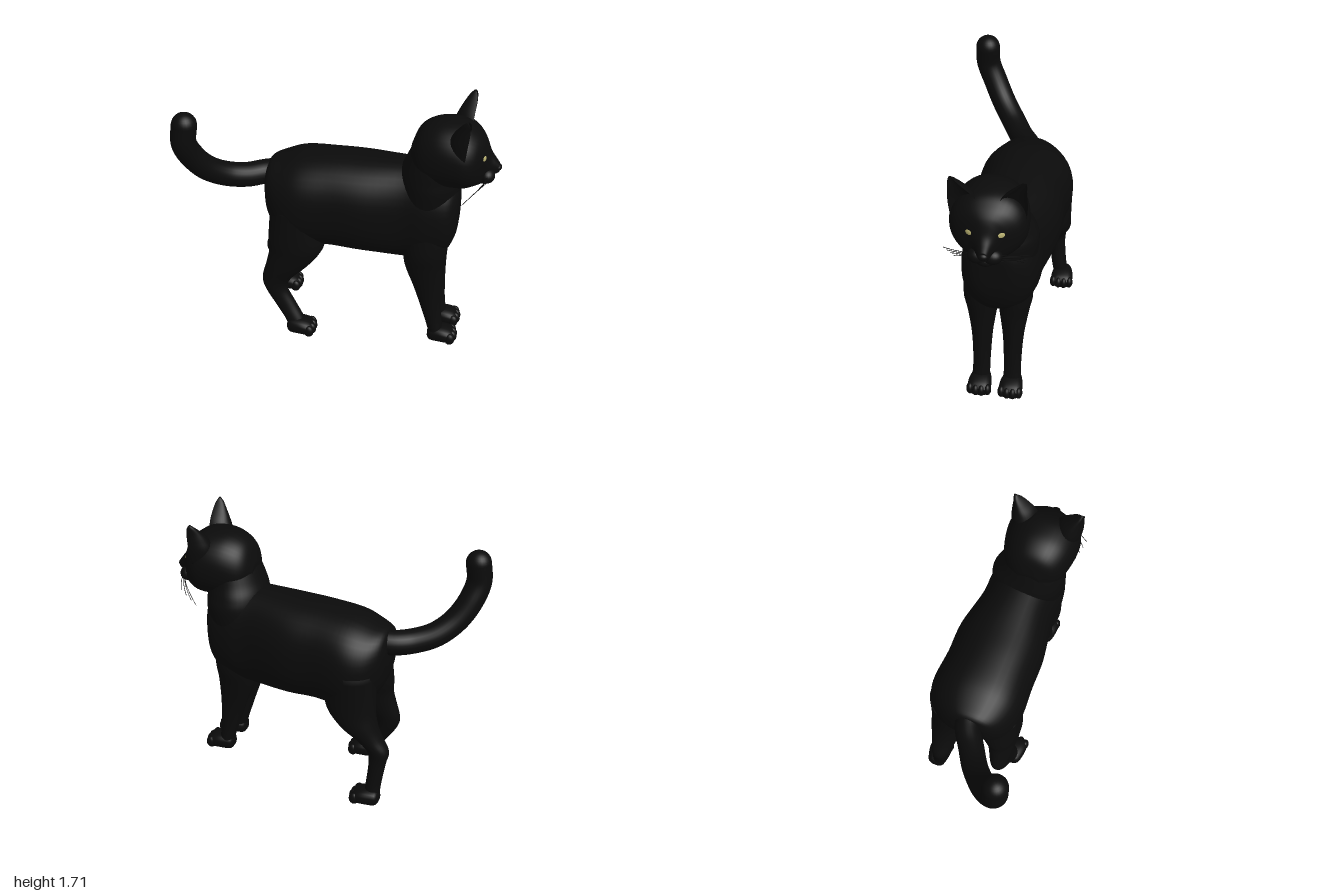
import * as THREE from 'three';

const fur = new THREE.MeshStandardMaterial({ color: 0x0b0b0b });
fur.name = 'black fur';
const iris = new THREE.MeshStandardMaterial({ color: 0xb8b070 });
iris.name = 'yellow eye';

const HEAD_Z = 0.018;

// Catmull-Rom through rows of numbers
function smoothRows(rows, steps) {
  const out = [];
  for (let i = 0; i < rows.length - 1; i++) {
    const a = rows[Math.max(i - 1, 0)], b = rows[i], c = rows[i + 1], d = rows[Math.min(i + 2, rows.length - 1)];
    for (let s = 0; s < steps; s++) {
      const t = s / steps;
      out.push(b.map((v, k) => v + 0.5 * t * (c[k] - a[k] + t * (2 * a[k] - 5 * v + 4 * c[k] - d[k] + t * (3 * (v - c[k]) + d[k] - a[k])))));
    }
  }
  out.push(rows[rows.length - 1]);
  return out;
}

// Closed skin over rings [x, y, z, r1, r2]; rings stand across the chosen axis.
// power < 1 makes rings boxier, dent < 1 hollows the +r1 side.
function loft(rows, axis, { power = 1, dent = 1, sides = 32, steps = 5 } = {}) {
  const rings = smoothRows(rows, steps), pos = [], idx = [];
  const shape = v => Math.sign(v) * Math.abs(v) ** power;
  for (const [x, y, z, r1, r2] of rings) {
    for (let j = 0; j < sides; j++) {
      const a = j / sides * Math.PI * 2;
      let u = shape(Math.sin(a)) * r1;
      if (u > 0) u *= dent;
      const w = shape(Math.cos(a)) * r2;
      if (axis === 'x') pos.push(x, y + u, z + w);
      else pos.push(x + u, y, z + w);
    }
  }
  const n = rings.length, first = n * sides, last = first + 1;
  pos.push(...rings[0].slice(0, 3), ...rings[n - 1].slice(0, 3));
  for (let j = 0; j < sides; j++) {
    const k = (j + 1) % sides;
    for (let i = 0; i < n - 1; i++) {
      const a = i * sides + j, b = i * sides + k;
      idx.push(a, b, a + sides, b, b + sides, a + sides);
    }
    idx.push(first, k, j, last, (n - 1) * sides + j, (n - 1) * sides + k);
  }
  // Flip the winding where the rings run the other way
  let volume = 0;
  const P = i => new THREE.Vector3().fromArray(pos, i * 3);
  for (let i = 0; i < idx.length; i += 3) volume += P(idx[i]).dot(P(idx[i + 1]).cross(P(idx[i + 2])));
  if (volume < 0) idx.reverse();
  const g = new THREE.BufferGeometry();
  g.setAttribute('position', new THREE.Float32BufferAttribute(pos, 3));
  g.setIndex(idx);
  g.computeVertexNormals();
  return g;
}

function add(parent, name, geometry, material = fur) {
  const mesh = new THREE.Mesh(geometry, material);
  mesh.name = name;
  parent.add(mesh);
  return mesh;
}

function ball(parent, name, x, y, z, rx, ry, rz, material = fur) {
  const mesh = add(parent, name, new THREE.SphereGeometry(1, 24, 16), material);
  mesh.position.set(x, y, z);
  mesh.scale.set(rx, ry, rz);
  return mesh;
}

// Paw with four toes, its heel at x
function paw(parent, x, z) {
  add(parent, 'paw', loft([
    [x, 0.05, z, 0.025, 0.03], [x + 0.02, 0.052, z, 0.05, 0.055], [x + 0.09, 0.054, z, 0.053, 0.073],
    [x + 0.15, 0.047, z, 0.046, 0.072], [x + 0.18, 0.04, z, 0.026, 0.055],
  ], 'x', { power: 0.8, sides: 24 }));
  [-1.5, -0.5, 0.5, 1.5].forEach(k =>
    ball(parent, 'toe', x + 0.168 - Math.abs(k) * 0.011, 0.043, z + k * 0.037, 0.033, 0.041, 0.024));
}

function leg(parent, name, rows, pawX, pawZ) {
  const g = new THREE.Group();
  g.name = name;
  add(g, 'limb', loft(rows, 'y'));
  paw(g, pawX, pawZ);
  parent.add(g);
}

export function createModel() {
  const cat = new THREE.Group();
  cat.name = 'cat';

  // Trunk and neck
  add(cat, 'body', loft([
    [-0.485, 1.03, -0.04, 0.09, 0.1], [-0.46, 0.985, -0.05, 0.19, 0.18], [-0.38, 0.94, -0.06, 0.265, 0.26],
    [-0.25, 0.935, -0.06, 0.31, 0.3], [-0.05, 0.945, -0.05, 0.318, 0.288], [0.15, 0.94, -0.045, 0.327, 0.285],
    [0.4, 0.935, -0.03, 0.338, 0.24], [0.55, 0.94, -0.02, 0.33, 0.24], [0.68, 0.95, -0.01, 0.28, 0.21],
    [0.74, 0.98, 0, 0.19, 0.14], [0.757, 1, 0, 0.1, 0.08],
  ], 'x', { power: 0.88, sides: 40 }));
  add(cat, 'neck', loft([
    [0.55, 0.95, -0.02, 0.19, 0.21], [0.565, 1.15, -0.015, 0.195, 0.235], [0.565, 1.24, -0.005, 0.185, 0.225],
    [0.58, 1.32, 0.01, 0.168, 0.205], [0.605, 1.42, 0.015, 0.15, 0.18], [0.62, 1.5, 0.018, 0.12, 0.14],
  ], 'y', { sides: 40 }));

  // Legs
  for (const s of [1, -1]) {
    leg(cat, s > 0 ? 'frontLegLeft' : 'frontLegRight', [
      [0.56, 0.95, s * 0.09, 0.15, 0.11], [0.56, 0.72, s * 0.105, 0.138, 0.11], [0.56, 0.58, s * 0.1, 0.125, 0.092],
      [0.59, 0.4, s * 0.098, 0.09, 0.066], [0.625, 0.2, s * 0.098, 0.06, 0.055], [0.648, 0.09, s * 0.1, 0.05, 0.056],
      [0.655, 0.03, s * 0.1, 0.05, 0.055],
    ], 0.6, s * 0.1);
  }
  leg(cat, 'hindLegLeft', [
    [-0.27, 0.95, 0.08, 0.17, 0.15], [-0.27, 0.7, 0.115, 0.185, 0.125], [-0.285, 0.6, 0.13, 0.165, 0.105],
    [-0.335, 0.5, 0.14, 0.135, 0.085], [-0.402, 0.39, 0.145, 0.095, 0.062], [-0.405, 0.31, 0.15, 0.075, 0.055],
    [-0.345, 0.2, 0.16, 0.07, 0.05], [-0.283, 0.1, 0.175, 0.065, 0.05], [-0.26, 0.04, 0.185, 0.06, 0.05],
  ], -0.325, 0.19);
  leg(cat, 'hindLegRight', [
    [-0.29, 0.95, -0.2, 0.16, 0.155], [-0.29, 0.7, -0.225, 0.165, 0.125], [-0.345, 0.57, -0.235, 0.13, 0.11],
    [-0.42, 0.48, -0.235, 0.09, 0.085], [-0.487, 0.39, -0.24, 0.072, 0.062], [-0.487, 0.3, -0.245, 0.056, 0.052],
    [-0.472, 0.15, -0.26, 0.05, 0.05], [-0.465, 0.04, -0.28, 0.05, 0.05],
  ], -0.52, -0.29);

  // Tail with a round tip
  const path = new THREE.CatmullRomCurve3([
    [-0.4, 1.09, -0.06], [-0.5, 1.083, -0.03], [-0.6, 1.085, 0.03], [-0.72, 1.12, 0.1], [-0.82, 1.2, 0.18],
    [-0.89, 1.32, 0.25], [-0.92, 1.44, 0.3], [-0.908, 1.565, 0.302],
  ].map(p => new THREE.Vector3(...p)));
  add(cat, 'tail', new THREE.TubeGeometry(path, 48, 0.079, 24));
  ball(cat, 'tailTip', -0.908, 1.563, 0.302, 0.079, 0.079, 0.079);

  // Head, facing +x
  const head = new THREE.Group();
  head.name = 'head';
  head.position.z = HEAD_Z;
  cat.add(head);
  add(head, 'skull', loft([
    [0.445, 1.36, 0, 0.06, 0.07], [0.48, 1.365, 0, 0.15, 0.14], [0.53, 1.37, 0, 0.2, 0.185],
    [0.61, 1.39, 0, 0.213, 0.215], [0.7, 1.395, 0, 0.214, 0.23], [0.78, 1.39, 0, 0.207, 0.228],
    [0.84, 1.38, 0, 0.182, 0.195], [0.88, 1.365, 0, 0.16, 0.14], [0.905, 1.35, 0, 0.135, 0.09],
    [0.93, 1.33, 0, 0.09, 0.06], [0.96, 1.32, 0, 0.055, 0.04], [0.985, 1.31, 0, 0.03, 0.025],
  ], 'x', { power: 0.92, sides: 40 }));
  ball(head, 'chin', 0.9, 1.235, 0, 0.05, 0.04, 0.06);
  ball(head, 'nose', 0.977, 1.312, 0, 0.023, 0.023, 0.03);

  for (const s of [1, -1]) {
    ball(head, 'muzzlePad', 0.915, 1.272, s * 0.045, 0.05, 0.048, 0.058);

    // Hollow ear, open to the front
    add(head, s > 0 ? 'earLeft' : 'earRight', loft([
      [0.79, 1.45, s * 0.14, 0.11, 0.08], [0.8, 1.54, s * 0.142, 0.115, 0.086], [0.808, 1.6, s * 0.155, 0.1, 0.072],
      [0.812, 1.65, s * 0.178, 0.075, 0.046], [0.81, 1.69, s * 0.2, 0.045, 0.024], [0.8, 1.712, s * 0.21, 0.012, 0.01],
    ], 'y', { dent: -0.45 }));

    // Almond eye turned outward
    const eye = ball(head, s > 0 ? 'eyeLeft' : 'eyeRight', 0.882, 1.413, s * 0.096, 0.017, 0.029, 0.042, iris);
    eye.rotation.set(s * -0.15, s * -0.55, 0);

    // Whiskers
    for (let i = 0; i < 4; i++) {
      const y = 1.29 - i * 0.015;
      const curve = new THREE.QuadraticBezierCurve3(
        new THREE.Vector3(0.925, y, s * 0.08),
        new THREE.Vector3(0.91 - i * 0.012, y - 0.01, s * 0.17),
        new THREE.Vector3(0.86 - i * 0.025, y - 0.03 - i * 0.025, s * (0.25 - i * 0.015)));
      add(head, 'whisker', new THREE.TubeGeometry(curve, 10, 0.002, 5));
    }
  }
  return cat;
}
